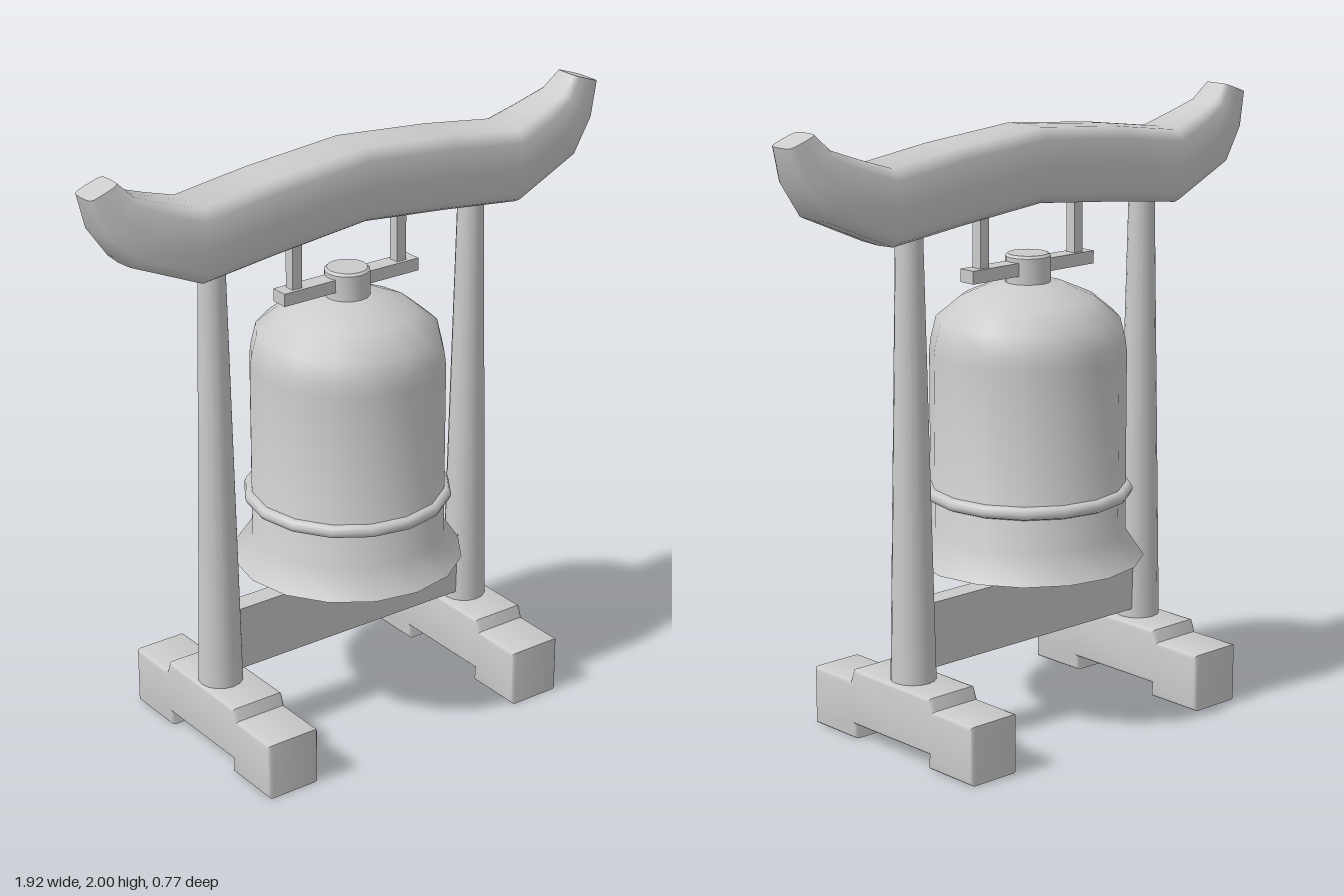
import * as THREE from 'three';
import { toCreasedNormals } from 'three/addons/utils/BufferGeometryUtils.js';

const material = new THREE.MeshStandardMaterial({ color: 0xcccccc });
const Z = -0.005;

function add(parent, name, geometry, x = 0, y = 0, z = 0) {
  const mesh = new THREE.Mesh(geometry, material);
  mesh.name = name;
  mesh.position.set(x, y, z);
  parent.add(mesh);
  return mesh;
}

const lathe = (points, sides) =>
  toCreasedNormals(new THREE.LatheGeometry(points.map(([r, y]) => new THREE.Vector2(r, y)), sides), 0.75);

// Upswept top beam: rounded-rectangle sections lofted from tip to tip
function topBeamGeometry() {
  // top x, top y, bottom x, bottom y, half depth
  const half = [
    [0, 1.945, 0, 1.7, 0.108],
    [0.345, 1.915, 0.32, 1.668, 0.108],
    [0.6, 1.88, 0.6, 1.635, 0.108],
    [0.71, 1.915, 0.845, 1.74, 0.09],
    [0.81, 1.95, 0.925, 1.85, 0.07],
    [0.86, 2.0, 0.96, 1.965, 0.05],
  ];
  const mirrored = half.slice(1).reverse().map(([a, b, c, d, w]) => [-a, b, -c, d, w]);
  const stations = [...mirrored, ...half];
  const n = 16, positions = [], index = [];
  const soft = (v) => Math.sign(v) * Math.pow(Math.abs(v), 0.4);
  for (const [tx, ty, bx, by, w] of stations) {
    for (let j = 0; j < n; j++) {
      const a = (j / n) * Math.PI * 2;
      const t = (soft(Math.sin(a)) + 1) / 2;
      positions.push(bx + (tx - bx) * t, by + (ty - by) * t, w * soft(Math.cos(a)) + Z);
    }
  }
  const last = (stations.length - 1) * n;
  for (let i = 0; i < last; i += n) {
    for (let j = 0; j < n; j++) {
      const k = (j + 1) % n;
      index.push(i + j, i + n + j, i + n + k, i + j, i + n + k, i + k);
    }
  }
  // Flat tips
  for (let j = 1; j < n - 1; j++) {
    index.push(0, j, j + 1, last, last + j + 1, last + j);
  }
  const geometry = new THREE.BufferGeometry();
  geometry.setAttribute('position', new THREE.Float32BufferAttribute(positions, 3));
  geometry.setIndex(index);
  return toCreasedNormals(geometry, 0.9);
}

// Stepped foot with a raised middle and an arch below, bevelled all round
function footGeometry() {
  const b = 0.012, width = 0.188;
  const outline = [
    [-0.383, 0.003], [-0.2, 0.003], [-0.18, 0.05], [0.18, 0.05], [0.2, 0.003], [0.383, 0.003],
    [0.383, 0.195], [0.205, 0.195], [0.19, 0.235], [-0.19, 0.235], [-0.205, 0.195], [-0.383, 0.195],
  ];
  // Inset the outline by the bevel size so the finished foot keeps its measurements
  const up = [1, 1, 1, 1, 1, 1, -1, -1, -1, -1, -1, -1];
  const shape = new THREE.Shape(outline.map(([z, y], i) =>
    new THREE.Vector2(z - Math.sign(z) * (i === 2 || i === 3 ? -b : b), y + up[i] * b)));
  const geometry = new THREE.ExtrudeGeometry(shape, {
    depth: width - 2 * b, bevelEnabled: true, bevelSize: b, bevelThickness: b, bevelSegments: 3,
  });
  geometry.translate(0, 0, -width / 2 + b);
  geometry.rotateY(Math.PI / 2);
  return toCreasedNormals(geometry, 0.6);
}

export function createModel() {
  const model = new THREE.Group();
  model.name = 'bellStand';

  // Frame
  add(model, 'topBeam', topBeamGeometry());
  const foot = footGeometry();
  const post = new THREE.CylinderGeometry(0.042, 0.073, 1.48, 16);
  for (const [side, x] of [['right', -0.52], ['left', 0.475]]) {
    add(model, side + 'Post', post, x, 0.96, Z);
    add(model, side + 'Foot', foot, x + (x < 0 ? 0.012 : -0.003), 0, 0);
  }
  add(model, 'crossBeam', new THREE.BoxGeometry(0.98, 0.215, 0.07), -0.022, 0.373, Z);

  // Hanger
  const hanger = new THREE.Group();
  hanger.name = 'hanger';
  model.add(hanger);
  add(hanger, 'hangerBar', new THREE.BoxGeometry(0.518, 0.042, 0.06), -0.016, 1.492, Z);
  for (const x of [-0.218, 0.184]) {
    add(hanger, 'hangerRod', new THREE.BoxGeometry(0.036, 0.27, 0.036), x, 1.615, Z);
  }

  // Bell
  const bell = new THREE.Group();
  bell.name = 'bell';
  bell.position.set(-0.015, 0, Z);
  model.add(bell);
  add(bell, 'bellBody', lathe([
    [0, 0.546], [0.375, 0.546], [0.315, 0.635], [0.315, 1.22], [0.31, 1.26],
    [0.293, 1.33], [0.215, 1.395], [0.12, 1.437], [0, 1.455],
  ], 16));
  const band = new THREE.TorusGeometry(0.316, 0.022, 8, 16);
  band.rotateX(Math.PI / 2);
  add(bell, 'bellBand', band, 0, 0.768, 0);
  add(bell, 'bellKnob', lathe([
    [0, 1.42], [0.073, 1.42], [0.073, 1.527], [0.065, 1.535], [0, 1.535],
  ], 16));
  return model;
}
